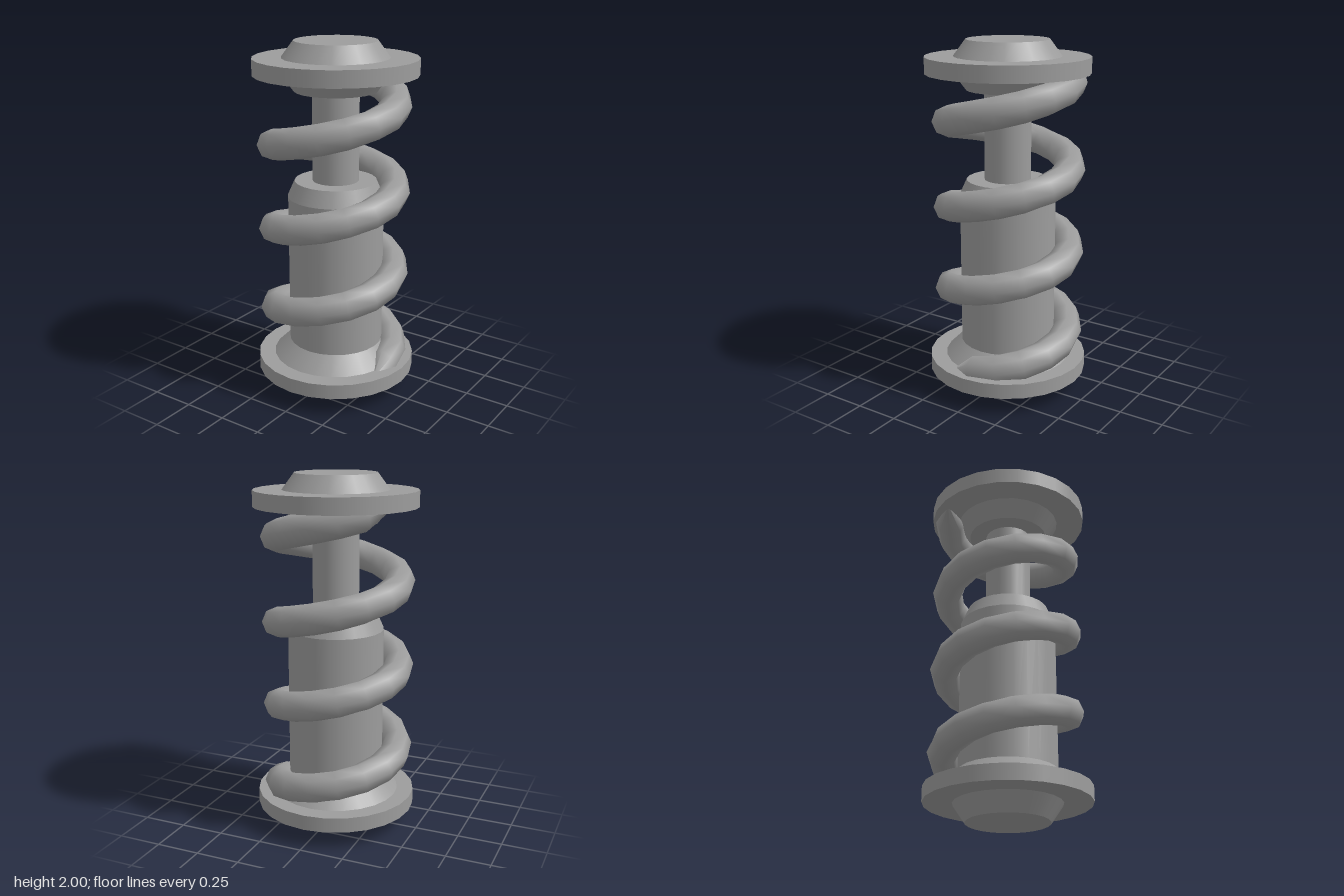
import * as THREE from 'three';

const material = new THREE.MeshStandardMaterial({ color: 0x9c9c9c });

// Helix around the y axis; angle is measured from +z towards +x.
class Helix extends THREE.Curve {
  constructor(radius, pitch, startAngle, endAngle, startY) {
    super();
    Object.assign(this, { radius, pitch, startAngle, endAngle, startY });
  }
  getPoint(t, target = new THREE.Vector3()) {
    const turn = (this.endAngle - this.startAngle) * t;
    const a = this.startAngle + turn;
    return target.set(
      this.radius * Math.sin(a),
      this.startY + (this.pitch * turn) / (2 * Math.PI),
      this.radius * Math.cos(a)
    );
  }
  // Keep one edge of the wire pointing straight out from the axis
  computeFrenetFrames(segments) {
    const frames = { tangents: [], normals: [], binormals: [] };
    for (let i = 0; i <= segments; i++) {
      const tangent = this.getTangentAt(i / segments);
      const normal = this.getPointAt(i / segments).setY(0).normalize();
      frames.tangents.push(tangent);
      frames.normals.push(normal);
      frames.binormals.push(new THREE.Vector3().crossVectors(tangent, normal).normalize());
    }
    return frames;
  }
}

export function createModel() {
  const model = new THREE.Group();
  model.name = 'coilSpringDamper';

  const add = (name, geometry) => {
    const mesh = new THREE.Mesh(geometry, material);
    mesh.name = name;
    model.add(mesh);
    return mesh;
  };

  // Round section between two heights
  const section = (name, y0, y1, r0, r1 = r0) => {
    const geometry = new THREE.CylinderGeometry(r1, r0, y1 - y0, 24);
    add(name, geometry).position.y = (y0 + y1) / 2;
  };

  // Lower mount and seat
  section('bottomCap', 0, 0.1, 0.227, 0.295);
  section('lowerFlange', 0.1, 0.185, 0.453);
  section('lowerSeat', 0.185, 0.275, 0.36, 0.27);

  // Damper body and piston rod
  section('damperBody', 0.275, 1.14, 0.27);
  section('bodyShoulder', 1.14, 1.23, 0.27, 0.23);
  section('pistonRod', 1.23, 1.73, 0.13);

  // Upper seat and mount
  section('upperSeat', 1.73, 1.82, 0.228, 0.295);
  section('upperFlange', 1.82, 1.91, 0.453);
  section('topCap', 1.91, 2, 0.295, 0.228);

  // Coil spring, 16 segments per turn, with ends narrowing to a point in the flanges
  const deg = THREE.MathUtils.degToRad;
  const path = new Helix(0.343, 0.48, deg(67.5), deg(1327.5), 0.155);
  const segments = 56, sides = 8;
  const coil = new THREE.TubeGeometry(path, segments, 0.085, sides, false);
  const pos = coil.attributes.position;
  for (const ring of [0, segments]) {
    const p = path.getPointAt(ring / segments);
    for (let i = 0; i <= sides; i++) pos.setXYZ(ring * (sides + 1) + i, p.x * 1.15, p.y, p.z * 1.15);
  }
  add('coilSpring', coil).position.x = -0.012;

  return model;
}
